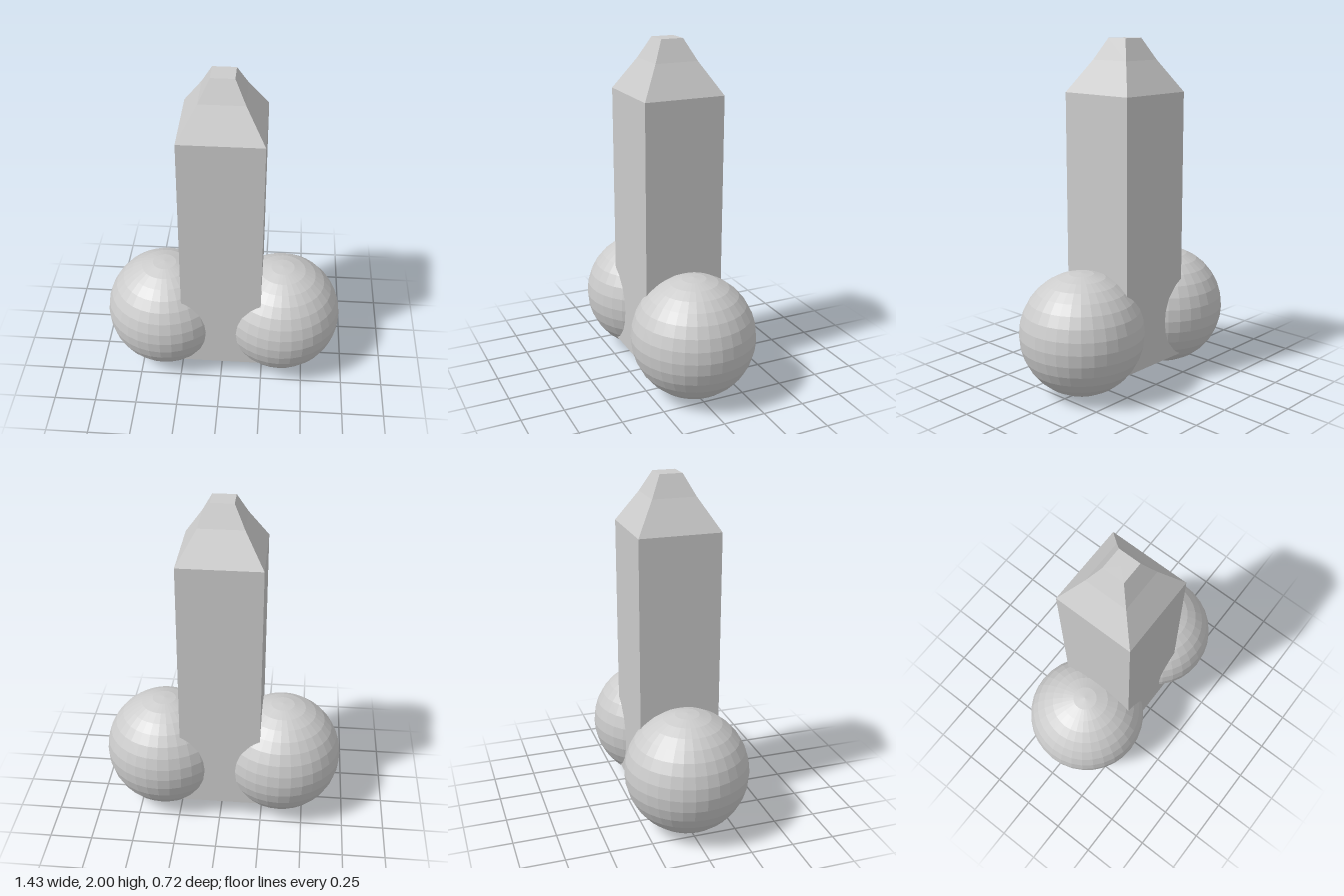
import * as THREE from 'three';

export function createModel() {
  const model = new THREE.Group();
  const material = new THREE.MeshStandardMaterial({ color: 0xcccccc, flatShading: true });

  const add = (name, geometry) => {
    const mesh = new THREE.Mesh(geometry, material);
    mesh.name = name;
    model.add(mesh);
    return mesh;
  };

  // Square column with a tapered, blunt tip: [half width, height], closed at both ends
  const profile = [[0, 0.125], [0.236, 0.125], [0.236, 1.7], [0.126, 1.88], [0.065, 2], [0, 2]]
    .map(([half, y]) => new THREE.Vector2(half * Math.SQRT2, y));
  add('column', new THREE.LatheGeometry(profile, 4, Math.PI / 4));

  // Faceted spheres sunk into both sides of the base
  const radius = 0.358;
  for (const [name, side] of [['leftSphere', 1], ['rightSphere', -1]]) {
    add(name, new THREE.SphereGeometry(radius, 32, 16)).position.set(side * radius, 0.36, 0);
  }

  return model;
}
